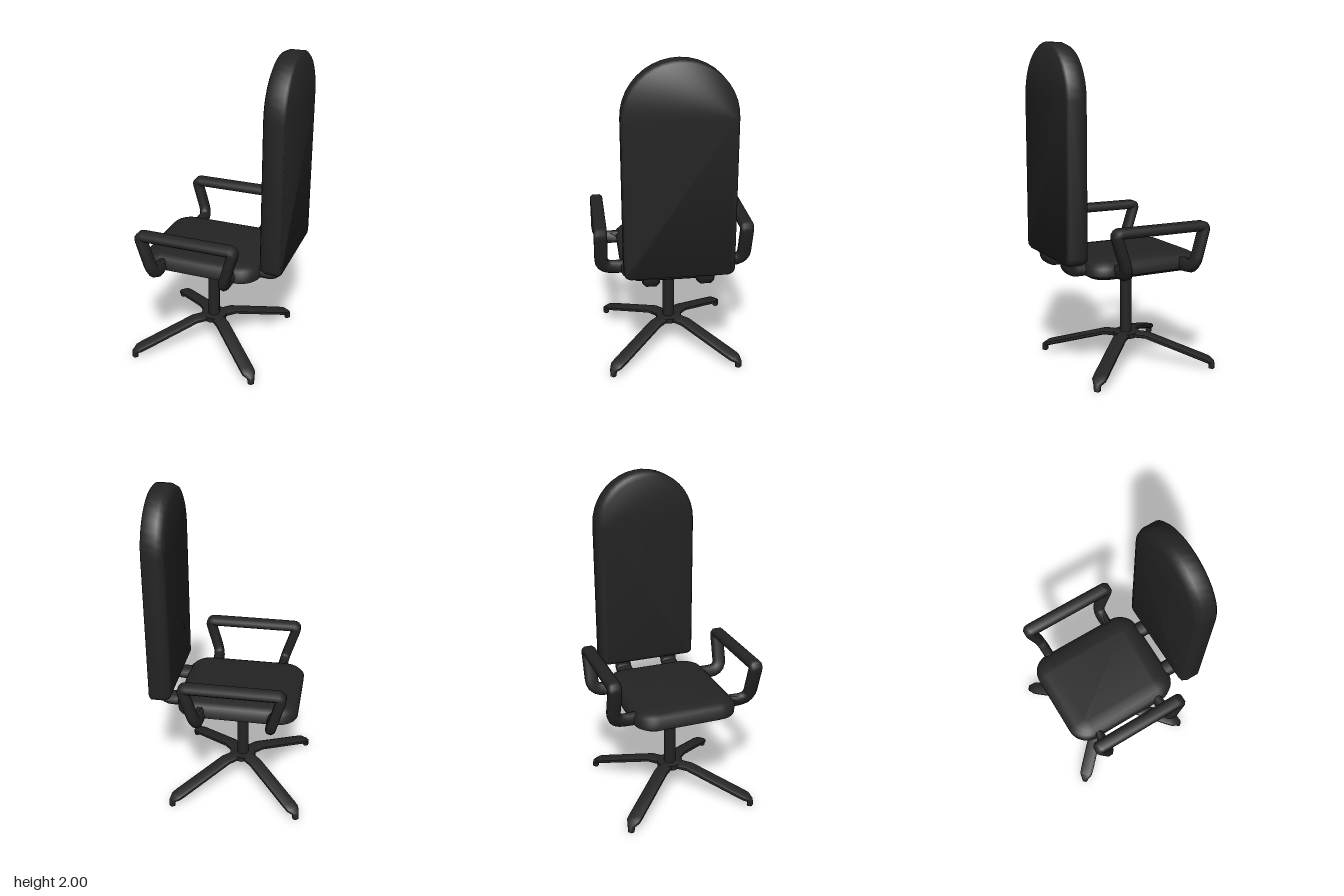
import * as THREE from 'three';
import { toCreasedNormals } from 'three/addons/utils/BufferGeometryUtils.js';

const charcoal = new THREE.MeshStandardMaterial({ color: 0x242424 });
charcoal.name = 'charcoal';

// Skin a list of equal-length rings and close both ends with fans
function skin(rings) {
  const n = rings[0].length, pos = [], idx = [];
  rings.forEach(r => r.forEach(p => pos.push(p.x, p.y, p.z)));
  for (let i = 0; i < rings.length - 1; i++) {
    for (let j = 0; j < n; j++) {
      const a = i * n + j, b = i * n + (j + 1) % n;
      idx.push(a, b, b + n, a, b + n, a + n);
    }
  }
  const last = (rings.length - 1) * n;
  for (let j = 1; j < n - 1; j++) {
    idx.push(0, j + 1, j, last, last + j, last + j + 1);
  }
  const g = new THREE.BufferGeometry();
  g.setAttribute('position', new THREE.Float32BufferAttribute(pos, 3));
  g.setIndex(idx);
  return toCreasedNormals(g, 0.9);
}

// Cushion with rounded outline; sections are [inset, height] pairs
function cushion(w, h, topRadius, bottomRadius, sections) {
  return skin(sections.map(([inset, z]) => {
    const ring = [];
    [[1, 1], [-1, 1], [-1, -1], [1, -1]].forEach(([sx, sy], c) => {
      const r = Math.max((sy > 0 ? topRadius : bottomRadius) - inset, 0.004);
      for (let k = 0; k <= 10; k++) {
        const a = (c + k / 10) * Math.PI / 2;
        ring.push(new THREE.Vector3(
          sx * (w / 2 - inset - r) + r * Math.cos(a),
          sy * (h / 2 - inset - r) + r * Math.sin(a), z));
      }
    });
    return ring;
  }));
}

// Replace the inner corners of a path by short curves
function roundPath(points, radii) {
  const p = points.map(a => new THREE.Vector3(...a)), out = [p[0]];
  for (let i = 1; i < p.length - 1; i++) {
    const toward = q => p[i].clone().add(q.clone().sub(p[i]).setLength(radii[i - 1]));
    out.push(...new THREE.QuadraticBezierCurve3(toward(p[i - 1]), p[i], toward(p[i + 1])).getPoints(5));
  }
  out.push(p[p.length - 1]);
  return out;
}

// Sweep a chamfered bar along points, its wide side kept toward z
function sweep(points, wide, narrow, widths = []) {
  const section = [[1, -0.5], [1, 0.5], [0.6, 1], [-0.6, 1], [-1, 0.5], [-1, -0.5], [-0.6, -1], [0.6, -1]];
  const Z = new THREE.Vector3(0, 0, 1);
  return skin(points.map((p, i) => {
    const t = new THREE.Vector3();
    if (i > 0) t.add(p.clone().sub(points[i - 1]).normalize());
    if (i < points.length - 1) t.add(points[i + 1].clone().sub(p).normalize());
    t.normalize();
    const w = Z.clone().addScaledVector(t, -t.z);
    if (w.length() < 0.01) w.set(0, -1, 0);
    w.normalize();
    const b = t.clone().cross(w), s = widths[i] ?? 1;
    return section.map(([u, v]) => p.clone()
      .addScaledVector(w, u * s * wide / 2).addScaledVector(b, v * narrow / 2));
  }));
}

export function createModel() {
  const model = new THREE.Group();
  const add = (name, geometry, parent = model) => {
    const mesh = new THREE.Mesh(geometry, charcoal);
    mesh.name = name;
    parent.add(mesh);
    return mesh;
  };

  // Seat pad with a shallow recess underneath
  const seat = add('seat', cushion(0.755, 0.65, 0.13, 0.13, [
    [0.11, 0.65], [0.075, 0.622], [0.04, 0.622], [0.003, 0.645], [0, 0.695], [0.02, 0.715], [0.05, 0.73], [0.11, 0.738],
  ]).rotateX(-Math.PI / 2));
  seat.position.x = -0.057;

  // Tall arched backrest
  const back = add('backrest', cushion(0.65, 1.27, 0.325, 0.045, [
    [0.04, 0.342], [0.015, 0.352], [0, 0.385], [0, 0.465], [0.015, 0.478],
  ]).rotateY(Math.PI / 2));
  back.position.y = 1.365;

  // Brackets joining seat and backrest
  const bracketPath = roundPath([[0.24, 0.675, 0], [0.415, 0.675, 0], [0.415, 0.77, 0]], [0.05]);
  for (const z of [-0.162, 0.162]) add('backBracket', sweep(bracketPath, 0.1, 0.068)).position.z = z;

  // Armrest loops on both sides
  const armPath = roundPath([
    [-0.28, 0.675, 0.28], [-0.28, 0.675, 0.445], [-0.362, 0.928, 0.445],
    [0.235, 0.928, 0.445], [0.165, 0.675, 0.445], [0.165, 0.675, 0.28],
  ], [0.075, 0.03, 0.03, 0.075]);
  const armGeometry = sweep(armPath, 0.08, 0.058);
  add('leftArmrest', armGeometry);
  // The other armrest, turned round and shifted to line up
  const flipped = add('rightArmrest', armGeometry.clone().rotateY(Math.PI));
  flipped.position.x = -0.121;

  // Pedestal and star base
  const base = new THREE.Group();
  base.name = 'base';
  base.position.x = -0.061;
  model.add(base);
  const column = (name, r, y0, y1) => {
    const g = new THREE.CylinderGeometry(r, r, y1 - y0, 12);
    add(name, g, base).position.y = (y0 + y1) / 2;
  };
  column('column', 0.038, 0.16, 0.57);
  column('upperColumn', 0.032, 0.56, 0.66);
  column('hub', 0.085, 0.157, 0.187);

  const legPath = [[0, 0.171], [0.14, 0.171], [0.5, 0.065], [0.535, 0.054], [0.562, 0.036], [0.564, 0]]
    .map(([x, y]) => new THREE.Vector3(x, y, 0));
  const legGeometry = sweep(legPath, 0.086, 0.034, [1, 1, 1, 0.95, 0.5, 0.42]);
  for (let i = 0; i < 4; i++) {
    add('baseLeg', legGeometry, base).rotation.y = (i + 0.5) * Math.PI / 2;
  }
  return model;
}
